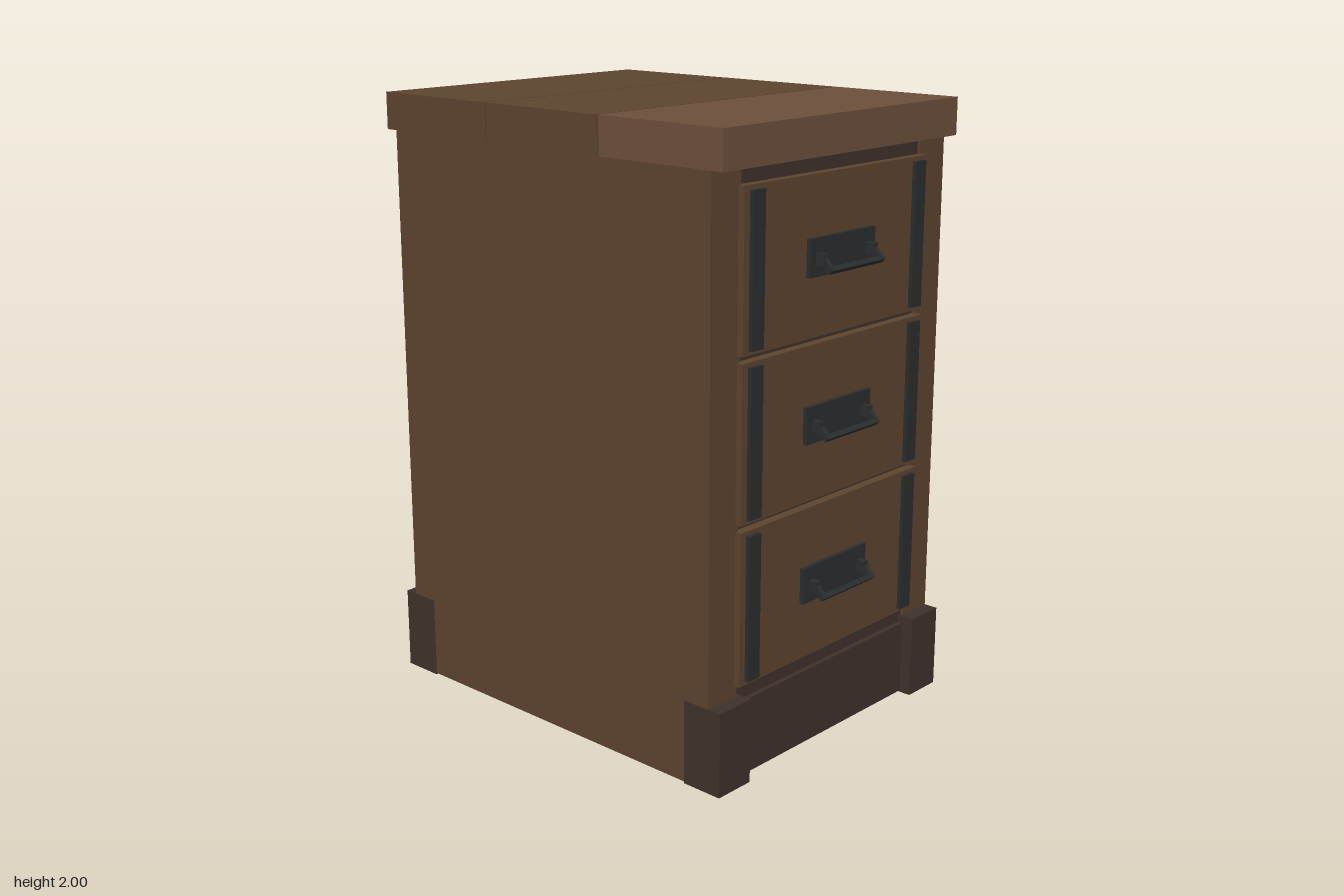
import * as THREE from 'three';

const material = (color) => new THREE.MeshStandardMaterial({ color });

export function createModel() {
  const cabinet = new THREE.Group();
  cabinet.name = 'drawerCabinet';
  const wood = material(0x5d442f);
  const lightWood = material(0x6d4f3c);
  const darkWood = material(0x3f312a);
  const metal = material(0x2a2d2e);

  // Box given by its extents on each axis
  function box(name, [x0, x1], [y0, y1], [z0, z1], mat, parent = cabinet) {
    const mesh = new THREE.Mesh(new THREE.BoxGeometry(x1 - x0, y1 - y0, z1 - z0), mat);
    mesh.position.set((x0 + x1) / 2, (y0 + y1) / 2, (z0 + z1) / 2);
    mesh.name = name;
    parent.add(mesh);
    return mesh;
  }
  // Same box on the left (+x) or mirrored to the right
  const span = (side, a, b) => (side > 0 ? [a, b] : [-b, -a]);

  // Tabletop: three planks with narrow open gaps
  box('topPlankFront', [-0.56, 0.56], [1.88, 2], [0.222, 0.7], lightWood);
  box('topPlankMiddle', [-0.56, 0.56], [1.88, 2], [-0.262, 0.216], wood);
  box('topPlankBack', [-0.56, 0.56], [1.88, 2], [-0.746, -0.268], wood);

  // Sides, corner posts and feet
  for (const s of [1, -1]) {
    const label = s > 0 ? 'left' : 'right';
    box(label + 'SidePanel', span(s, 0.45, 0.559), [0.005, 1.88], [-0.64, 0.6], wood);
    box(label + 'FrontPost', span(s, 0.43, 0.559), [0.005, 1.88], [0.59, 0.655], wood);
    box(label + 'BackPost', span(s, 0.435, 0.559), [0.005, 1.88], [-0.703, -0.63], wood);
    box(label + 'FrontFoot', span(s, 0.418, 0.56), [0, 0.275], [0.56, 0.702], darkWood);
    box(label + 'BackFoot', span(s, 0.418, 0.56), [0, 0.275], [-0.748, -0.606], darkWood);
  }

  // Inner panels and plinth
  box('backPanel', [-0.45, 0.45], [0.01, 1.88], [-0.692, -0.64], darkWood);
  box('bottomPanel', [-0.45, 0.45], [0.12, 0.16], [-0.64, 0.6], darkWood);
  box('innerTop', [-0.45, 0.45], [1.84, 1.88], [-0.64, 0.6], darkWood);
  box('plinth', [-0.42, 0.42], [0.005, 0.252], [0.55, 0.662], darkWood);
  box('frontBacking', [-0.43, 0.43], [0.16, 1.88], [0.59, 0.645], darkWood);

  // Three identical drawers
  for (const bottom of [0.312, 0.825, 1.337]) {
    const drawer = new THREE.Group();
    drawer.name = 'drawer';
    drawer.position.y = bottom;
    cabinet.add(drawer);
    box('drawerFront', [-0.442, 0.442], [0, 0.491], [0.6, 0.676], wood, drawer);
    for (const s of [1, -1]) {
      box('metalStrap', span(s, 0.363, 0.417), [0.013, 0.477], [0.67, 0.689], metal, drawer);
    }

    // Handle: plate, two bent arms and a grip bar
    box('handlePlate', [-0.158, 0.158], [0.187, 0.304], [0.67, 0.69], metal, drawer);
    for (const s of [1, -1]) {
      const x = s * 0.122;
      box('handlePivot', [x - 0.01, x + 0.01], [0.225, 0.26], [0.685, 0.72], metal, drawer);
      const arm = box('handleArm', [x - 0.008, x + 0.008], [0.215, 0.235], [0.705, 0.75], metal, drawer);
      arm.position.set(x, 0.227, 0.726);
      arm.rotation.x = 0.8;
    }
    const grip = box('handleGrip', [-0.13, 0.13], [0.204, 0.222], [0.731, 0.747], metal, drawer);
    grip.rotation.x = 0.8;
  }
  return cabinet;
}
